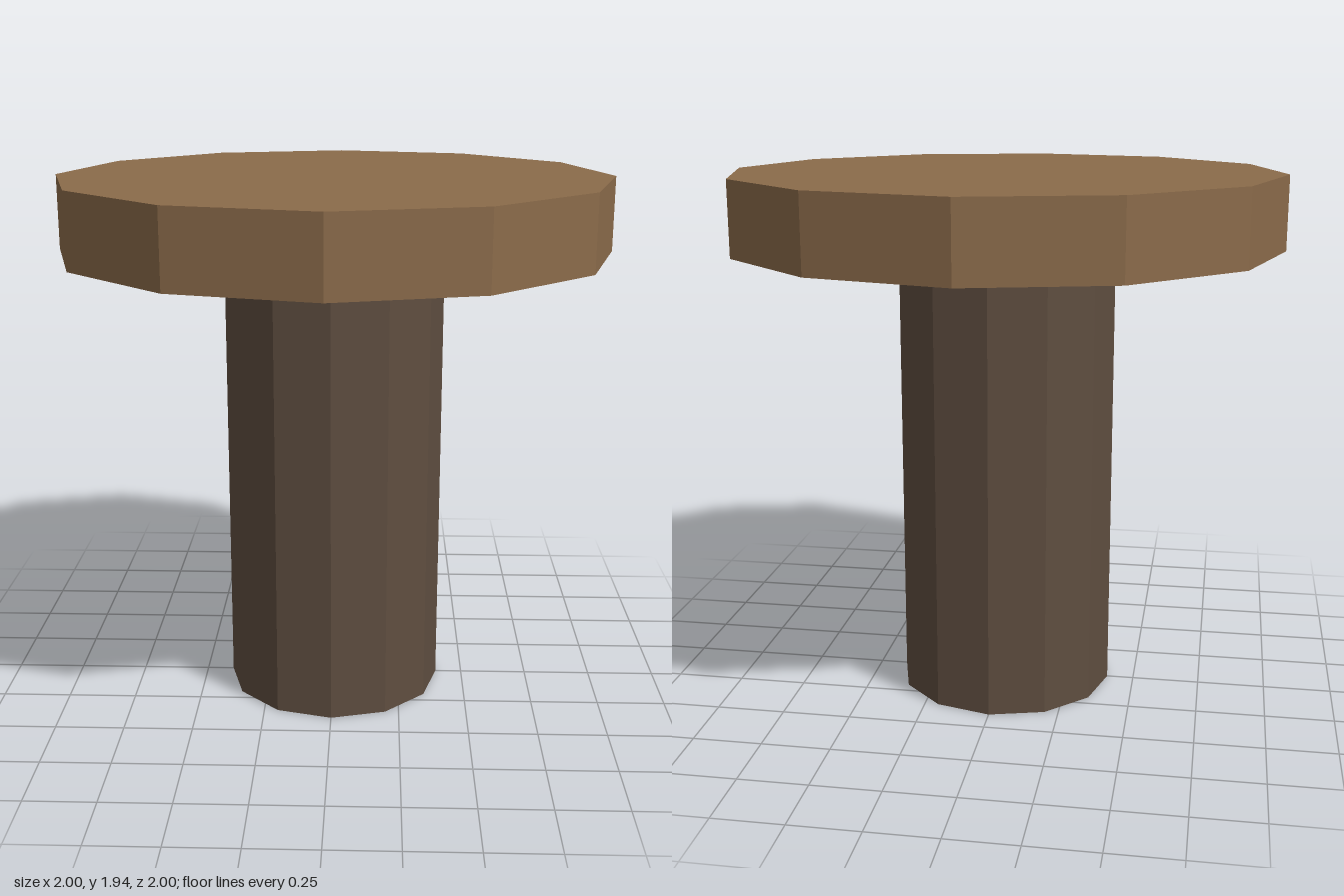
import * as THREE from 'three';

const SIDES = 12;

export function createModel() {
  const group = new THREE.Group();
  group.name = 'pedestalTable';

  const lightWood = new THREE.MeshStandardMaterial({ color: 0x8b6b4a, flatShading: true });
  lightWood.name = 'light wood';
  const darkWood = new THREE.MeshStandardMaterial({ color: 0x5f4e40, flatShading: true });
  darkWood.name = 'dark wood';

  // Twelve-sided prism standing between two heights
  function addPrism(name, radius, bottom, top, material) {
    const geometry = new THREE.CylinderGeometry(radius, radius, top - bottom, SIDES);
    const mesh = new THREE.Mesh(geometry, material);
    mesh.name = name;
    mesh.position.y = (bottom + top) / 2;
    group.add(mesh);
  }

  // Central post
  addPrism('post', 0.4, 0, 1.67, darkWood);
  // Round top slab
  addPrism('tableTop', 1, 1.67, 1.937, lightWood);

  return group;
}
